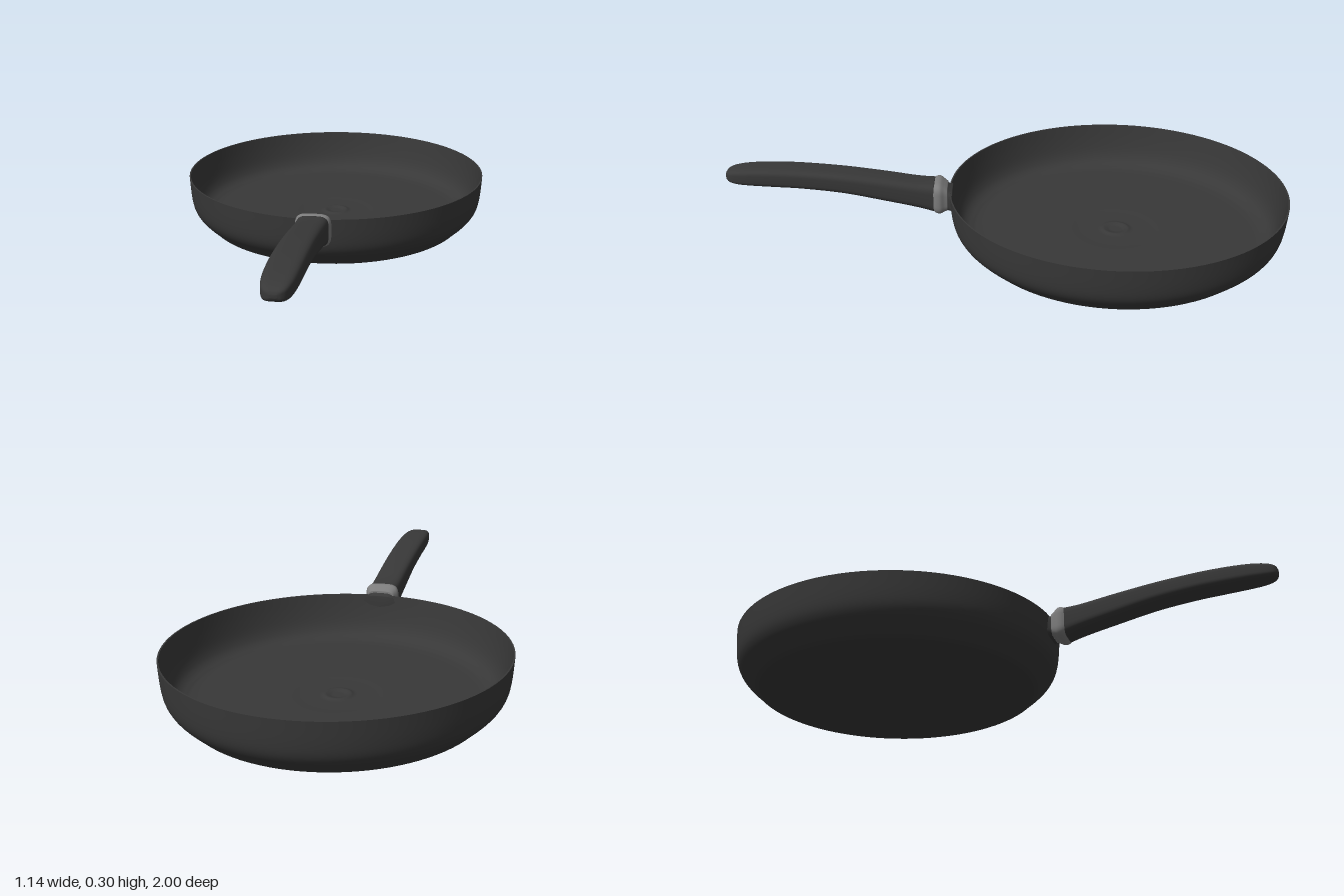
import * as THREE from 'three';

const dark = new THREE.MeshStandardMaterial({ color: 0x383838, side: THREE.DoubleSide });
const steel = new THREE.MeshStandardMaterial({ color: 0x7c7c7c });

const RX = 0.572, RZ = 0.603, CENTRE_Z = -0.397;

// Smooth curve through [radius, height] points, spun round the pan axis
function lathe(name, points, steps) {
  const curve = new THREE.SplineCurve(points.map(([x, y]) => new THREE.Vector2(x, y)));
  const profile = curve.getPoints(steps).map((p) => p.setX(Math.max(p.x, 0)));
  const mesh = new THREE.Mesh(new THREE.LatheGeometry(profile, 96), dark);
  mesh.name = name;
  return mesh;
}

// Loft of rounded-rectangle sections along z; each key is [z, bottom, top, halfWidth]
function loft(name, keys, steps, material) {
  const edges = new THREE.CatmullRomCurve3(keys.map(([z, b, t]) => new THREE.Vector3(b, t, z)), false, 'catmullrom', 0.5);
  const widths = new THREE.CatmullRomCurve3(keys.map(([z, , , w]) => new THREE.Vector3(w, 0, z)), false, 'catmullrom', 0.5);
  const sides = 40, pos = [], index = [];
  const soft = (v) => Math.sign(v) * Math.sqrt(Math.abs(v));
  for (let i = 0; i <= steps; i++) {
    const { x: bottom, y: top, z } = edges.getPoint(i / steps);
    const w = widths.getPoint(i / steps).x;
    for (let j = 0; j < sides; j++) {
      const a = (j / sides) * Math.PI * 2;
      pos.push(w * soft(Math.cos(a)), (top + bottom) / 2 + ((top - bottom) / 2) * soft(Math.sin(a)), z);
      if (i < steps) {
        const p = i * sides + j, q = i * sides + ((j + 1) % sides);
        index.push(p, q, p + sides, q, q + sides, p + sides);
      }
    }
  }
  // End caps
  const first = keys[0], last = keys[keys.length - 1], n = pos.length / 3;
  pos.push(0, (first[1] + first[2]) / 2, first[0], 0, (last[1] + last[2]) / 2, last[0]);
  for (let j = 0; j < sides; j++) {
    const k = (j + 1) % sides, base = steps * sides;
    index.push(k, j, n, base + j, base + k, n + 1);
  }
  const geo = new THREE.BufferGeometry();
  geo.setAttribute('position', new THREE.Float32BufferAttribute(pos, 3));
  geo.setIndex(index);
  geo.computeVertexNormals();
  const mesh = new THREE.Mesh(geo, material);
  mesh.name = name;
  return mesh;
}

export function createModel() {
  const model = new THREE.Group();
  model.name = 'fryingPan';

  // Slightly oval pan body with a thick base
  const pan = new THREE.Group();
  pan.name = 'pan';
  pan.position.z = CENTRE_Z;
  pan.scale.z = RZ / RX;
  pan.add(
    lathe('outerShell', [
      [0, 0.002], [0.2, 0.004], [0.38, 0.009], [0.46, 0.014], [0.488, 0.022], [0.505, 0.037],
      [0.527, 0.057], [0.547, 0.08], [0.56, 0.108], [0.567, 0.15], [RX, 0.217],
    ], 60),
    lathe('rim', [[RX, 0.217], [RX - 0.005, 0.217]], 1),
    lathe('innerShell', [
      [RX - 0.005, 0.217], [0.558, 0.165], [0.547, 0.12], [0.535, 0.092], [0.52, 0.074], [0.498, 0.063],
      [0.46, 0.057], [0.3, 0.054], [0.15, 0.053],
    ], 50),
    // Floor centre with a small raised ring
    lathe('floorCentre', [
      [0.15, 0.053], [0.12, 0.051], [0.07, 0.051], [0.055, 0.052], [0.043, 0.056],
      [0.032, 0.054], [0.02, 0.051], [0, 0.051],
    ], 40),
  );
  model.add(pan);

  // Short neck growing out of the pan wall
  model.add(loft('neck', [
    [0.193, 0.14, 0.215, 0.06], [0.205, 0.142, 0.22, 0.053], [0.216, 0.142, 0.226, 0.05], [0.23, 0.142, 0.232, 0.05],
  ], 12, dark));

  // Metal collar joining handle and neck
  model.add(loft('collar', [
    [0.211, 0.142, 0.229, 0.051], [0.222, 0.138, 0.238, 0.055], [0.236, 0.132, 0.248, 0.062],
    [0.25, 0.133, 0.249, 0.061], [0.262, 0.14, 0.244, 0.055],
  ], 24, steel));

  // Gently arched handle with a rounded tip
  model.add(loft('handle', [
    [0.252, 0.136, 0.246, 0.056], [0.32, 0.156, 0.251, 0.055], [0.44, 0.183, 0.269, 0.055],
    [0.58, 0.212, 0.287, 0.055], [0.72, 0.229, 0.299, 0.055], [0.82, 0.235, 0.303, 0.054],
    [0.9, 0.239, 0.302, 0.051], [0.95, 0.242, 0.298, 0.045], [0.98, 0.247, 0.292, 0.036],
    [0.994, 0.254, 0.285, 0.024], [1.0, 0.264, 0.275, 0.01],
  ], 70, dark));

  return model;
}
